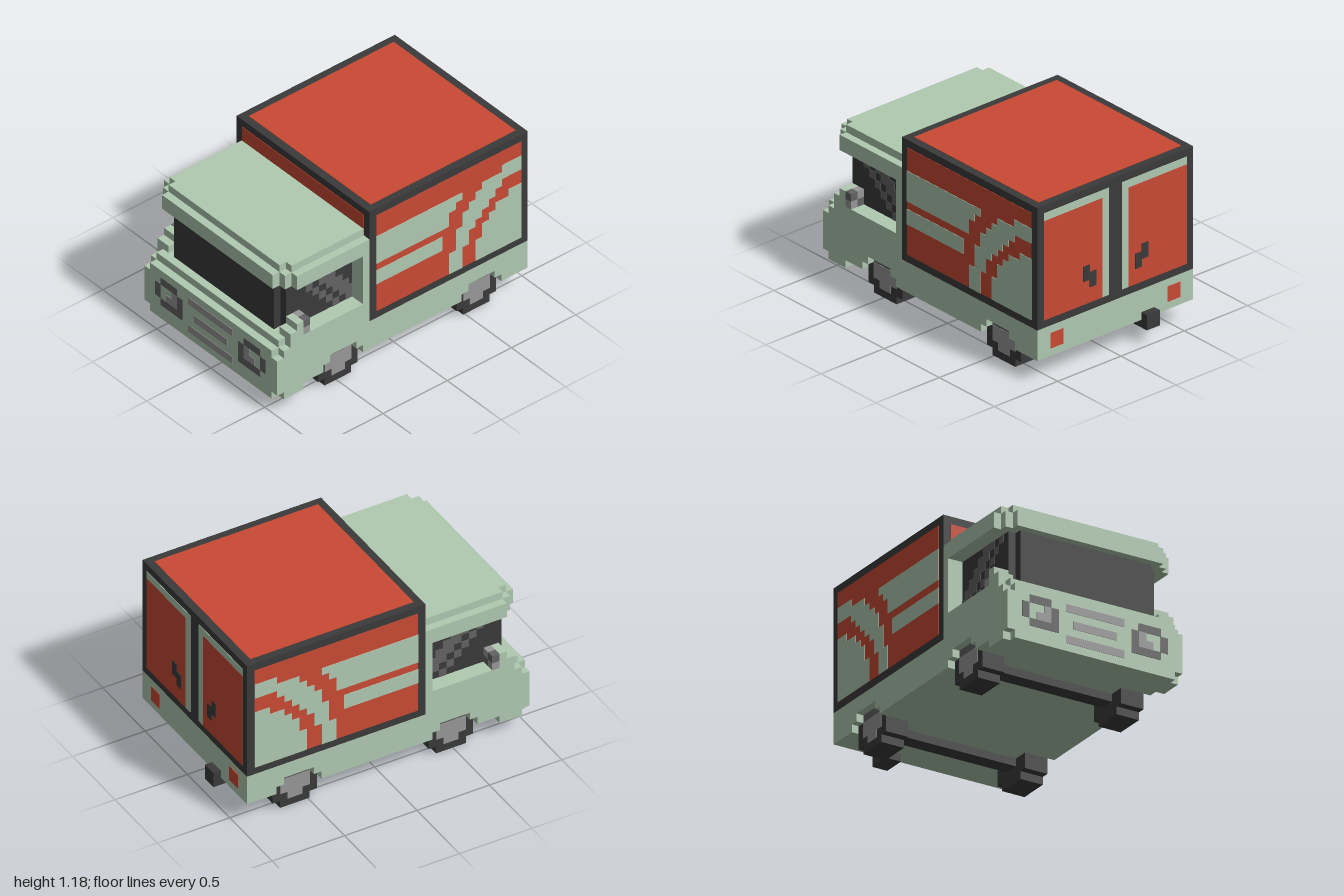
import * as THREE from 'three';

const UNIT = 2 / 39;   // one block of the grid
const T = 0.06;        // thickness of painted plates, in blocks

export function createModel() {
  const truck = new THREE.Group();
  truck.name = 'boxTruck';
  truck.scale.setScalar(UNIT);

  const paint = (name, color) => {
    const m = new THREE.MeshStandardMaterial({ color });
    m.name = name;
    return m;
  };
  const green = paint('paleGreen', 0xb0c9b1);
  const red = paint('orangeRed', 0xc94a34);
  const dark = paint('charcoal', 0x3a3a3a);
  const mid = paint('midGrey', 0x636363);
  const light = paint('lightGrey', 0x979797);

  // Block between two corners; k counts blocks back from the nose
  function block(name, mat, x0, x1, y0, y1, k0, k1) {
    const mesh = new THREE.Mesh(new THREE.BoxGeometry(x1 - x0, y1 - y0, k1 - k0), mat);
    mesh.position.set((x0 + x1) / 2, (y0 + y1) / 2, 19.5 - (k0 + k1) / 2);
    mesh.name = name;
    truck.add(mesh);
  }
  const wide = (name, mat, half, ...rest) => block(name, mat, -half, half, ...rest);
  // The same block on both sides
  function pair(name, mat, x0, x1, ...rest) {
    block(name + 'Left', mat, x0, x1, ...rest);
    block(name + 'Right', mat, -x1, -x0, ...rest);
  }

  // Lower body core and outer side skins with wheel arches
  wide('cabBase', green, 11, 3, 9, 1, 14);
  wide('chassis', green, 11, 3, 7, 14, 38);
  const outline = [[1, 3]];
  const wheelCentres = [10, 31];
  for (const c of wheelCentres) {
    outline.push([c - 3, 3], [c - 3, 4], [c - 2, 4], [c - 2, 5],
      [c + 2, 5], [c + 2, 4], [c + 3, 4], [c + 3, 3]);
  }
  outline.push([38, 3], [38, 7], [14, 7], [14, 9], [1, 9]);
  const skin = new THREE.ExtrudeGeometry(
    new THREE.Shape(outline.map(([k, y]) => new THREE.Vector2(k - 19.5, y))),
    { depth: 1, bevelEnabled: false });
  skin.rotateY(Math.PI / 2);
  for (const x of [11, -12]) {
    const mesh = new THREE.Mesh(skin, green);
    mesh.position.x = x;
    mesh.name = x > 0 ? 'bodySideLeft' : 'bodySideRight';
    truck.add(mesh);
  }

  // Stepped nose, bumper lip and belt line
  wide('nose', green, 12, 3, 8, 0, 1);
  wide('noseTop', green, 11, 8, 9, 0, 1);
  wide('noseBottom', green, 11, 2, 3, 0, 1);
  wide('bumperLip', green, 12, 2, 3, 1, 4);
  wide('beltFront', green, 11, 9, 10, 1, 2);
  wide('belt', green, 12, 9, 10, 2, 14);

  // Cab glass, rear pillars and stepped roof
  wide('cabGlass', dark, 10, 10, 17, 3, 13);
  wide('windscreen', dark, 9, 10, 17, 2, 3);
  wide('rearPillars', green, 12, 10, 17, 13, 14);
  wide('roof', green, 12, 17, 19, 3, 14);
  wide('roofFront', green, 11, 17, 19, 2, 3);
  wide('roofVisor', green, 10, 17, 19, 1, 2);
  wide('roofTop', green, 11, 19, 20, 3, 14);
  wide('roofTopFront', green, 10, 19, 20, 2, 3);

  // Diagonal reflections on the side windows
  for (let r = 0; r < 7; r++) {
    const y = 16 - r, k = 4 + r;
    pair('reflectionThin', mid, 10, 10 + T, y, y + 1, k, k + 1);
    if (k + 2 < 13) {
      pair('reflectionWide', mid, 10, 10 + T, y, y + 1, k + 2, Math.min(k + 4.5, 13));
    }
  }

  // Wing mirrors
  pair('mirrorArm', green, 10, 12, 10, 11, 2, 3);
  pair('mirrorShell', green, 10, 12, 10, 12, 3, 4);
  pair('mirrorOuterLow', light, 11, 12, 10, 11, 4, 5);
  pair('mirrorOuterHigh', mid, 11, 12, 11, 12, 4, 5);
  pair('mirrorInnerLow', mid, 10, 11, 10, 11, 4, 5);
  pair('mirrorInnerHigh', light, 10, 11, 11, 12, 4, 5);

  // Headlamps: grey ring and bright corner
  for (const [x0, x1, y0, y1] of [[6, 9, 7, 8], [9, 10, 5, 7], [5, 9, 4, 5], [5, 6, 5, 7]]) {
    pair('headlampRing', mid, x0, x1, y0, y1, -T, 0);
  }
  pair('headlampGlow', light, 6, 7, 5, 7, -T, 0);
  pair('headlampGlowCorner', light, 7, 8, 5, 6, -T, 0);
  for (const [half, y] of [[4, 7], [3, 5], [4, 3]]) {
    wide('grilleBar', light, half, y, y + 1, -T, 0);
  }

  // Cargo box with red panels inside a dark frame
  wide('cargoBox', dark, 12, 7, 23, 14, 38);
  wide('cargoRoofPanel', red, 11, 23, 23 + T, 15, 37);
  wide('cargoFrontPanel', red, 11, 8, 22, 14 - T, 14);
  pair('cargoSidePanel', red, 12, 12 + T, 8, 22, 15, 37);

  // Stripes on the cargo sides: [top row, bottom row, first column, last column]
  const stripes = [
    [3, 4, 0, 13], [4, 5, 0, 12], [5, 7, 0, 11], [8, 10, 0, 10],
    [2, 3, 19, 22], [3, 4, 16, 22], [4, 5, 15, 19], [5, 6, 14, 18], [6, 7, 13, 17],
    [7, 8, 13, 16], [8, 9, 12, 15], [9, 11, 12, 14], [11, 14, 11, 13],
    [6, 7, 20, 22], [7, 8, 18, 22], [8, 9, 17, 22], [9, 11, 16, 22], [11, 14, 15, 22],
  ];
  for (const [r0, r1, c0, c1] of stripes) {
    pair('cargoStripe', green, 12 + T / 2, 12 + 2 * T, 22 - r1, 22 - r0, 15 + c0, 15 + c1);
  }

  // Rear doors, handles and tail lamps
  pair('rearDoor', red, 2, 11, 8, 21, 38, 38 + T);
  pair('doorTopTrim', green, 1, 11, 21, 22, 38, 38 + T);
  pair('doorInnerTrim', green, 1, 2, 8, 21, 38, 38 + T);
  pair('handleUpper', dark, 4, 5, 11, 13, 38, 38 + 2 * T);
  pair('handleLower', dark, 3, 4, 10, 12, 38, 38 + 2 * T);
  pair('tailLamp', red, 8, 10, 4, 6, 38, 38 + T);

  // Wheels with hubs, and axles
  for (const c of wheelCentres) {
    pair('tyre', dark, 8, 11 + T, 1, 4, c - 3, c + 3);
    pair('tyreTread', dark, 8, 11 + T, 0, 1, c - 2, c + 2);
    pair('tyreTop', mid, 8, 11 + T, 4, 5, c - 2, c + 2);
    pair('hub', light, 11, 11 + 2 * T, 2, 4, c - 2, c + 2);
    pair('hubLow', light, 11, 11 + 2 * T, 1, 2, c - 1, c + 1);
    wide('axle', dark, 8, 2, 3, c - 1, c + 1);
  }

  // Exhaust
  block('exhaust', dark, -6, -4, 2, 3, 36, 39);
  block('exhaustTip', dark, -6, -4, 3, 4, 38, 39);
  return truck;
}
